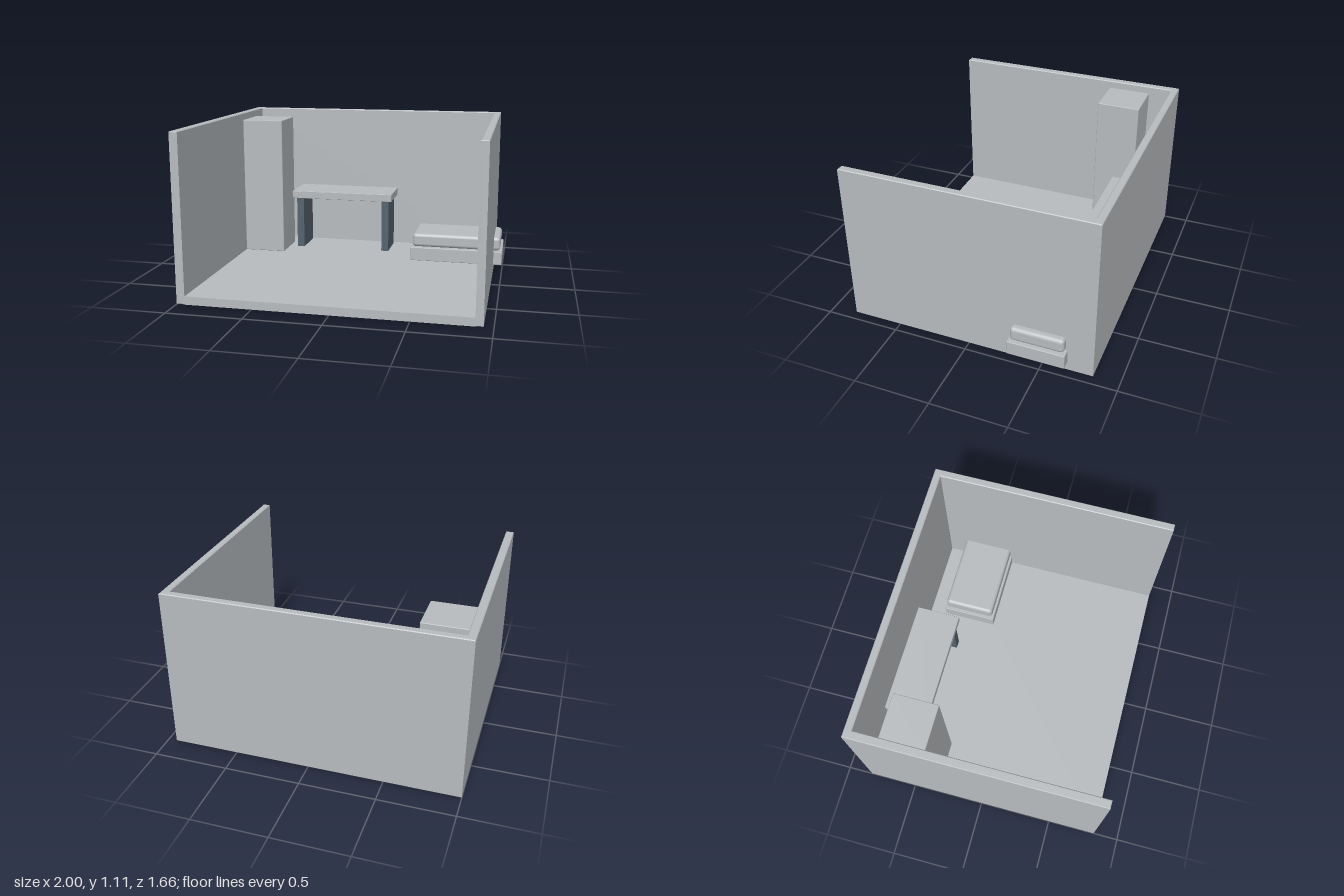
import * as THREE from 'three';
import { RoundedBoxGeometry } from 'three/addons/geometries/RoundedBoxGeometry.js';

export function createModel() {
  const room = new THREE.Group();
  room.name = 'room';

  const paleGrey = new THREE.MeshStandardMaterial({ color: 0xb8bcbf });
  paleGrey.name = 'pale grey';
  const slate = new THREE.MeshStandardMaterial({ color: 0x55636e });
  slate.name = 'slate';

  function add(name, geometry, material, parent = room) {
    const mesh = new THREE.Mesh(geometry, material);
    mesh.name = name;
    parent.add(mesh);
    return mesh;
  }

  // Box given by its lower and upper corners, with optional rounded edges
  function block(name, min, max, material, parent, radius = 0, segments = 1) {
    const [w, h, d] = max.map((v, i) => v - min[i]);
    const geometry = radius
      ? new RoundedBoxGeometry(w, h, d, segments, radius)
      : new THREE.BoxGeometry(w, h, d);
    const mesh = add(name, geometry, material, parent);
    mesh.position.set(...max.map((v, i) => (v + min[i]) / 2));
    return mesh;
  }

  // Three walls: a U-shaped plan raised with a fine bevel
  const plan = new THREE.Shape([
    [-1, -0.83], [-0.945, -0.83], [-0.945, 0.78], [0.89, 0.78],
    [0.89, -0.83], [0.94, -0.83], [0.94, 0.83], [-1, 0.83],
  ].map(([x, y]) => new THREE.Vector2(x, y)));
  const bevel = 0.005;
  const walls = new THREE.ExtrudeGeometry(plan, {
    depth: 1.107 - 2 * bevel,
    bevelSize: bevel,
    bevelThickness: bevel,
    bevelOffset: -bevel,
    bevelSegments: 1,
  });
  walls.rotateX(-Math.PI / 2).translate(0, bevel, 0);
  add('walls', walls, paleGrey);

  // Floor slab between the walls
  block('floor', [-0.95, 0, -0.785], [0.895, 0.055, 0.83], paleGrey, room);

  // Tall wardrobe against the side wall
  block('wardrobe', [-0.945, 0.055, -0.625], [-0.643, 1.057, -0.325], paleGrey, room, 0.005);

  // Desk with two panel legs
  const desk = new THREE.Group();
  desk.name = 'desk';
  room.add(desk);
  block('deskTop', [-0.613, 0.445, -0.78], [0.16, 0.5, -0.475], paleGrey, desk, 0.003);
  for (const x of [-0.585, 0.081]) {
    block('deskLeg', [x, 0.055, -0.755], [x + 0.054, 0.447, -0.502], slate, desk);
  }

  // Bed that passes through the side wall
  const bed = new THREE.Group();
  bed.name = 'bed';
  room.add(bed);
  block('bedBase', [0.335, 0.058, -0.663], [1, 0.156, -0.283], paleGrey, bed, 0.005);
  block('mattress', [0.35, 0.158, -0.65], [0.985, 0.256, -0.297], paleGrey, bed, 0.025, 4);

  return room;
}
